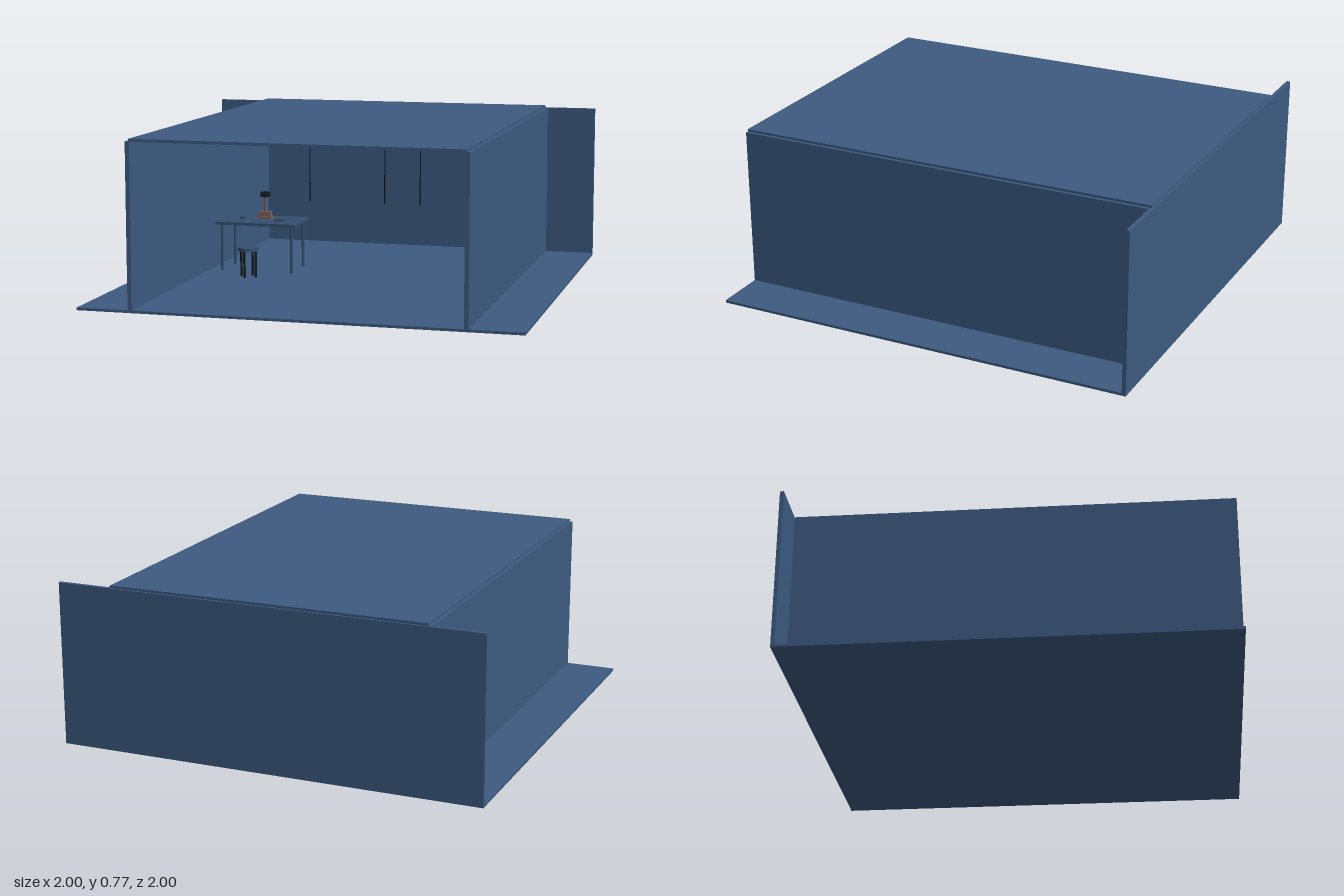
import * as THREE from 'three';

const paint = (color) => new THREE.MeshStandardMaterial({ color });

export function createModel() {
  const model = new THREE.Group();
  const shell = paint(0x3d5a80), steel = paint(0x35506f), dark = paint(0x141a24), wood = paint(0x7a6058);

  const group = (name, x = 0, y = 0, z = 0) => {
    const g = new THREE.Group();
    g.name = name;
    g.position.set(x, y, z);
    model.add(g);
    return g;
  };
  const add = (parent, name, geo, mat, x, y, z) => {
    const m = new THREE.Mesh(geo, mat);
    m.name = name;
    m.position.set(x, y, z);
    parent.add(m);
    return m;
  };
  // Box given by its low and high corners
  const box = (parent, name, mat, [x0, y0, z0], [x1, y1, z1]) =>
    add(parent, name, new THREE.BoxGeometry(x1 - x0, y1 - y0, z1 - z0), mat,
      (x0 + x1) / 2, (y0 + y1) / 2, (z0 + z1) / 2);
  // Upright rod from y0 to y1
  const rod = (parent, name, mat, r, x, y0, y1, z) =>
    add(parent, name, new THREE.CylinderGeometry(r, r, y1 - y0, 12), mat, x, (y0 + y1) / 2, z);

  // Room shell, open at the front
  const room = group('room');
  box(room, 'floor', shell, [-1, 0, -1], [1, 0.012, 1]);
  box(room, 'backWall', shell, [-1, 0.012, -1], [1, 0.756, -0.982]);
  for (const s of [-1, 1]) {
    const wall = box(room, s > 0 ? 'leftWall' : 'rightWall', shell, [-0.01, 0.012, -0.982], [0.01, 0.756, 1]);
    wall.position.x = s * 0.75;
  }
  box(room, 'roof', shell, [-0.745, 0.754, -0.99], [0.745, 0.767, 1]);

  // Desk
  const desk = group('desk', -0.5, 0, -0.127);
  box(desk, 'deskTop', steel, [-0.2, 0.241, -0.125], [0.2, 0.255, 0.125]);
  for (const x of [-0.176, 0.176])
    for (const z of [-0.098, 0.098]) rod(desk, 'deskLeg', steel, 0.007, x, 0.012, 0.241, z);
  box(desk, 'notebook', steel, [0.07, 0.255, -0.03], [0.125, 0.264, 0.04]);
  box(desk, 'smallBox', steel, [-0.11, 0.255, -0.02], [-0.09, 0.268, 0.02]);

  // Desk lamp
  const lamp = group('deskLamp', -0.5, 0.255, -0.17);
  box(lamp, 'lampBase', wood, [-0.036, 0, -0.025], [0.036, 0.01, 0.025]);
  box(lamp, 'lampBlock', wood, [-0.03, 0.01, -0.015], [0.03, 0.034, 0.015]);
  rod(lamp, 'lampStem', wood, 0.006, 0, 0.034, 0.11, 0);
  rod(lamp, 'lampHead', dark, 0.025, 0, 0.107, 0.13, 0);

  // Stool
  const stool = group('stool', -0.5, 0, 0.1);
  add(stool, 'stoolSeat', new THREE.CylinderGeometry(0.05, 0.05, 0.015, 32), steel, 0, 0.147, 0);
  for (let i = 0; i < 4; i++) {
    const a = i * Math.PI / 2 + 0.2;
    rod(stool, 'stoolLeg', dark, 0.006, Math.cos(a) * 0.039, 0.012, 0.14, Math.sin(a) * 0.039);
  }

  // Shelf rack near the back wall
  const rack = group('shelfRack', 0.595, 0, -0.89);
  for (const x of [-0.098, 0.098])
    for (const z of [-0.06, 0.06]) rod(rack, 'rackPost', steel, 0.006, x, 0.035, 0.68, z);
  for (const y of [0.16, 0.36, 0.56])
    box(rack, 'shelf', steel, [-0.125, y - 0.005, -0.085], [0.125, y + 0.005, 0.085]);
  box(rack, 'upperBox', steel, [-0.055, 0.565, -0.02], [-0.025, 0.598, 0.03]);
  box(rack, 'books', steel, [-0.04, 0.365, -0.04], [0.035, 0.38, 0.04]);
  box(rack, 'lowerBox', steel, [-0.095, 0.165, -0.03], [-0.05, 0.187, 0.03]);
  box(rack, 'tallBox', steel, [0.037, 0.165, -0.02], [0.06, 0.21, 0.02]);

  // Cables hanging from the ceiling
  const cables = group('cables');
  for (const x of [-0.25, 0.122, 0.296]) rod(cables, 'cable', dark, 0.003, x, 0.36, 0.755, -0.1);

  return model;
}
